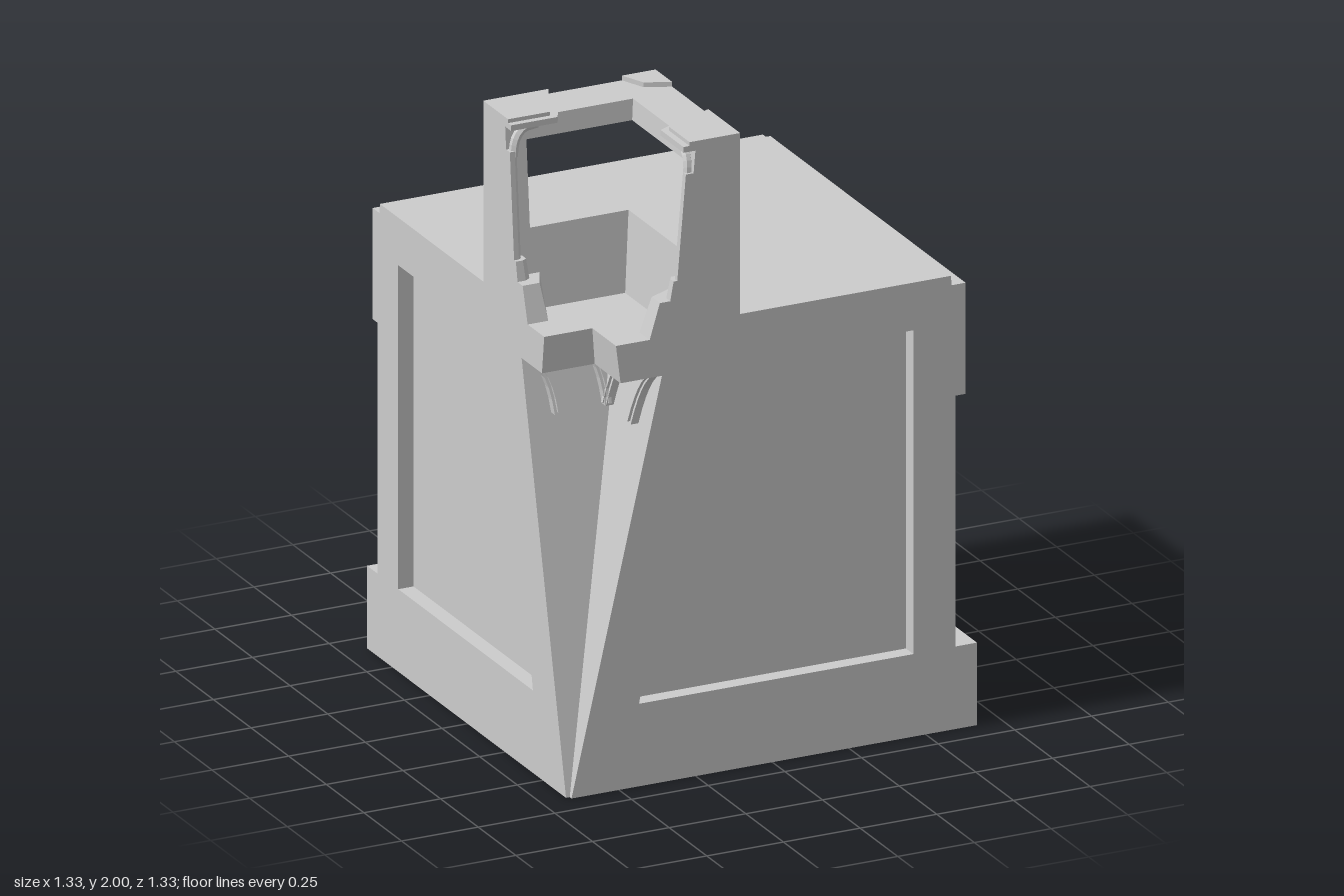
import * as THREE from 'three';

const E = 0.667; // half width of the whole block
const material = new THREE.MeshStandardMaterial({ color: 0xcccccc, side: THREE.DoubleSide, flatShading: true });

// The block is symmetric about its diagonal: (x, y, z) -> (-z, y, -x)
function mirrored(geometry) {
  const src = geometry.getAttribute('position');
  const out = [];
  for (let i = 0; i < src.count; i += 3)
    for (const k of [i, i + 2, i + 1]) out.push(-src.getZ(k), src.getY(k), -src.getX(k));
  return fromPositions(out);
}

function fromPositions(p) {
  const g = new THREE.BufferGeometry();
  g.setAttribute('position', new THREE.Float32BufferAttribute(p, 3));
  g.computeVertexNormals();
  return g;
}

// Flat convex faces, each a list of corners
function faces(list) {
  const p = [];
  for (const f of list)
    for (let i = 1; i < f.length - 1; i++) p.push(...f[0], ...f[i], ...f[i + 1]);
  return fromPositions(p);
}

// Closed solid between two convex plan outlines [x, z] at heights y0 and y1
function loft(bottom, y0, top, y1) {
  const area = bottom.reduce((s, [x, z], i) => {
    const [u, w] = bottom[(i + 1) % bottom.length];
    return s + x * w - u * z;
  }, 0);
  const order = (poly, y) => {
    const r = poly.map(([x, z]) => [x, y, z]);
    return area > 0 ? r.reverse() : r;
  };
  const b = order(bottom, y0), t = order(top, y1), n = b.length;
  const sides = b.map((v, i) => [v, b[(i + 1) % n], t[(i + 1) % n], t[i]]);
  return faces([t, [...b].reverse(), ...sides]);
}

const toShape = (pts) => new THREE.Shape(pts.map(([x, y]) => new THREE.Vector2(x, y)));

export function createModel() {
  const group = new THREE.Group();
  const addPair = (name, geometry) => {
    const g = geometry.index ? geometry.toNonIndexed() : geometry;
    for (const [suffix, geo] of [['Front', g], ['Side', mirrored(g)]]) {
      const mesh = new THREE.Mesh(geo, material);
      mesh.name = name + suffix;
      group.add(mesh);
    }
  };

  // Outer walls with plinth, shaft, cornice and roof step; open underneath
  const profile = [[E, 0], [E, 0.26], [0.597, 0.26], [0.597, 1.05], [0.63, 1.05],
    [0.63, 1.4], [0.585, 1.4], [0.582, 1.43]];
  addPair('outerWall', faces(profile.slice(1).map(([r1, y1], i) => {
    const [r0, y0] = profile[i];
    return [[r0, y0, E], [r0, y0, -r0], [r1, y1, -r1], [r1, y1, E]];
  })));
  const c = -0.105; // outer face of the turret
  addPair('roof', faces([[[c, 1.43, E], [0.582, 1.43, E], [0.582, 1.43, -0.582], [c, 1.43, -c]]]));

  // Flat wall with a sunken trapezoid panel
  const face = toShape([[-0.655, 0], ...profile, [c, 1.43], [c, 1.4], [-0.28, 1.4],
    [-0.28, 1.28], [-0.36, 1.28]]);
  const panel = [[-0.435, 0.26], [0.46, 0.26], [0.46, 1.28], [-0.235, 1.28]];
  face.holes.push(toShape(panel));
  addPair('panelFrame', new THREE.ShapeGeometry(face).translate(0, 0, E));
  const back = E - 0.05;
  addPair('sunkenPanel', new THREE.ShapeGeometry(toShape(panel)).translate(0, 0, back));
  addPair('panelReveal', faces(panel.map(([x, y], i) => {
    const [u, v] = panel[(i + 1) % 4];
    return [[x, y, E], [u, v, E], [u, v, back], [x, y, back]];
  })));

  // Leaning walls of the cut-away corner
  const lean = (y) => -0.655 + 0.295 * y / 1.28;
  addPair('cornerWall', faces([[[-0.655, 0, 0.655], [-0.655, 0, E], [-0.36, 1.28, E], [-0.36, 1.28, 0.36]]]));

  // Balcony around the open corner
  const ledge = (x) => [[x, E], [-0.28, E], [-0.28, 0.28], [x, -x]];
  addPair('balcony', loft(ledge(-0.495), 1.28, ledge(-0.51), 1.4));

  // Pointed pendants below the balcony, laid on the leaning wall in two layers
  const pendants = [[0.48, 0.55, 0.59, 0.657, 1.11], [0.36, 0.4, 0.425, 0.475, 1.11]];
  for (const [z0, z1, z2, z3, tip] of pendants)
    for (const [inset, thick] of [[0, 0.025], [0.008, 0.034]]) {
      const s = new THREE.Shape();
      s.moveTo(z0 + inset, 1.28);
      s.quadraticCurveTo(z1 - 0.008 + inset, 1.25, z1 + inset, tip + inset);
      s.lineTo(z2 - inset, tip + inset);
      s.quadraticCurveTo(z2 + 0.008 - inset, 1.25, z3 - inset, 1.28);
      const g = new THREE.ExtrudeGeometry(s, { depth: thick, bevelEnabled: false, curveSegments: 6 });
      const p = g.getAttribute('position');
      for (let i = 0; i < p.count; i++) {
        const z = p.getX(i), y = p.getY(i);
        p.setXYZ(i, lean(y) - p.getZ(i), y, z);
      }
      g.computeVertexNormals();
      addPair('pendant', g);
    }

  // Turret: parapet, end columns and top ring share one leaning inner face
  const inner = (y) => -0.3 + 0.05 * (y - 1.4) / 0.58;
  const arm = (y) => [[inner(y), E], [c, E], [c, -c], [inner(y), -inner(y)]];
  const post = (y) => [[inner(y), E], [c, E], [c, 0.6], [inner(y), 0.6]];
  addPair('parapet', loft(arm(1.4), 1.4, arm(1.65), 1.65));
  addPair('column', loft(post(1.65), 1.65, post(1.92), 1.92));
  addPair('topRing', loft(arm(1.92), 1.92, arm(1.985), 1.985));

  // Cap plates on the ring
  const plate = (name, poly, y0, y1) => addPair(name, loft(poly, y0, poly, y1));
  plate('lowerCap', [[-0.29, E], [-0.29, 0.515], [-0.24, 0.49], [-0.11, 0.46], [-0.11, E]], 1.97, 1.988);
  plate('upperCap', [[-0.27, E], [-0.27, 0.53], [c, 0.455], [c, E]], 1.985, 2);
  plate('cornerCap', [[-0.182, 0.182], [c, 0.215], [c, -c]], 1.985, 2);

  // Pedestal, drum and colonnette against each end column
  addPair('pedestal', loft([[-0.4, E], [-0.4, 0.6], [-0.29, 0.555], [-0.29, E]], 1.4,
    [[-0.367, E], [-0.367, 0.612], [-0.285, 0.572], [-0.285, E]], 1.51));
  const half = (x, w, d) => [[x - d, E], [x - d, E - w * 0.6], [x - d * 0.6, E - w], [x + 0.03, E - w], [x + 0.03, E]];
  addPair('drum', loft(half(-0.3, 0.045, 0.033), 1.51, half(-0.296, 0.038, 0.026), 1.57));
  addPair('colonnette', loft(half(-0.288, 0.026, 0.022), 1.57, half(-0.26, 0.026, 0.022), 1.9));

  // Small arch rib springing from the colonnette along the ring
  const rib = new THREE.CatmullRomCurve3([[1.88, 0.65], [1.93, 0.64], [1.96, 0.615], [1.968, 0.57]]
    .map(([y, z]) => new THREE.Vector3(inner(y) - 0.01, y, z)));
  addPair('archRib', new THREE.TubeGeometry(rib, 8, 0.014, 6));

  return group;
}
